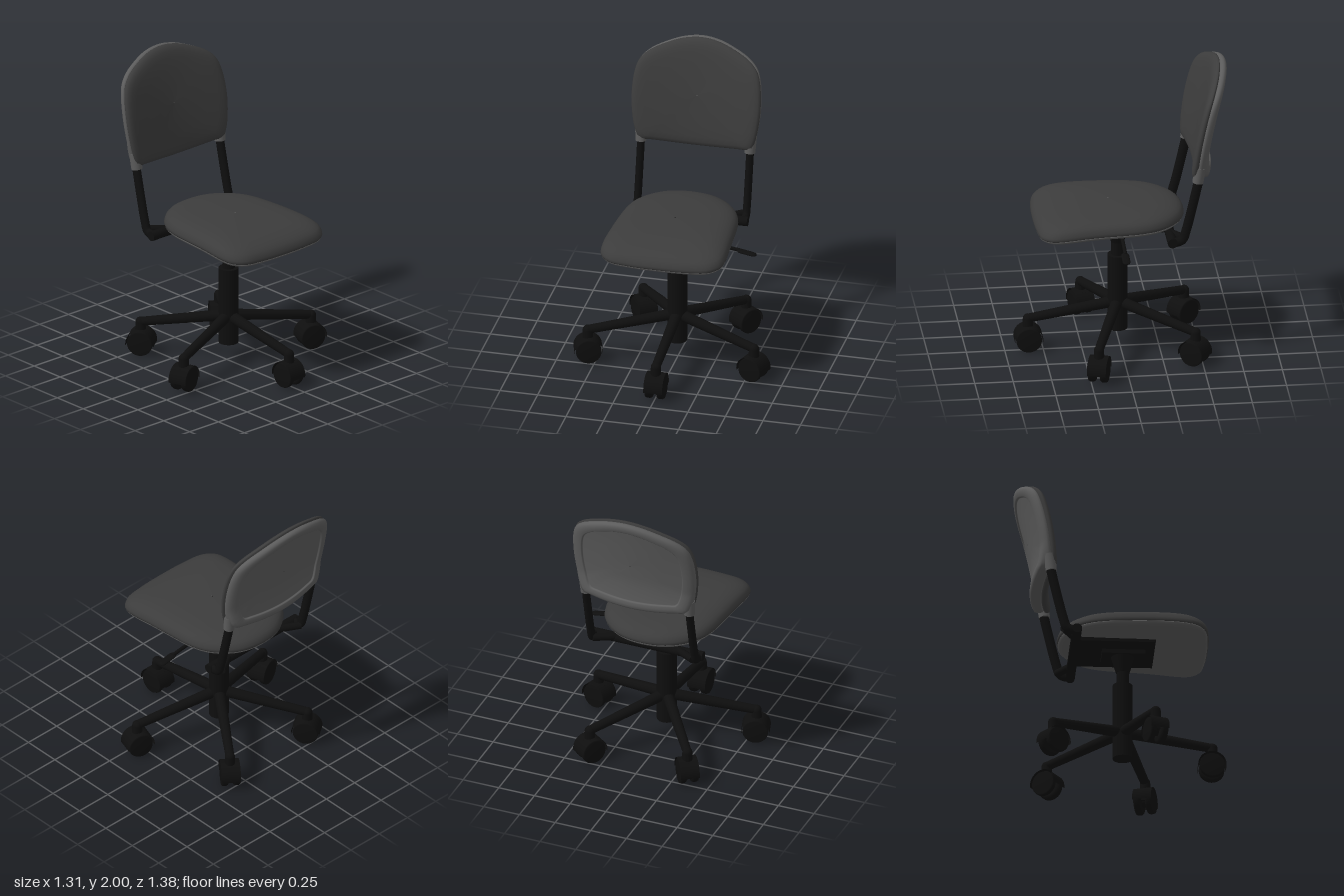
import * as THREE from 'three';

const mat = (color) => new THREE.MeshStandardMaterial({ color, side: THREE.DoubleSide });
const black = mat(0x0e0e0e), fabric = mat(0x3c3c3c), plastic = mat(0x5c5c5c);
const V = (x, y, z) => new THREE.Vector3(x, y, z);

function add(parent, name, geometry, material, x = 0, y = 0, z = 0) {
  const mesh = new THREE.Mesh(geometry, material);
  mesh.name = name;
  mesh.position.set(x, y, z);
  parent.add(mesh);
  return mesh;
}

// Straight round bar between two points, optionally tapered
function rod(parent, name, a, b, r0, r1 = r0, material = black) {
  const mesh = add(parent, name, new THREE.CylinderGeometry(r1, r0, a.distanceTo(b), 20), material);
  mesh.position.copy(a).add(b).multiplyScalar(0.5);
  mesh.quaternion.setFromUnitVectors(V(0, 1, 0), b.clone().sub(a).normalize());
  return mesh;
}

// Mirrors half an outline and samples it evenly
function outline(half) {
  const mirrored = half.slice(1, -1).reverse().map(([x, y]) => [-x, y]);
  const pts = [...half, ...mirrored].map(([x, y]) => V(x, y, 0));
  return new THREE.CatmullRomCurve3(pts, true).getSpacedPoints(96).slice(0, 96);
}

// Lofts scaled copies of an outline; rings are [scale, height]
function pad(points, centreV, rings, map) {
  const pos = [], index = [], n = points.length;
  rings.forEach(([s, h], k) => points.forEach((p, i) => {
    pos.push(...map(p.x * s, centreV + (p.y - centreV) * s, h));
    if (k === rings.length - 1) return;
    const a = k * n + i, d = k * n + (i + 1) % n;
    index.push(a, a + n, d + n, a, d + n, d);
  }));
  const g = new THREE.BufferGeometry();
  g.setAttribute('position', new THREE.Float32BufferAttribute(pos, 3));
  g.setIndex(index);
  g.computeVertexNormals();
  return g;
}

function makeSeat() {
  const g = new THREE.Group();
  g.name = 'seat';
  const shape = outline([[0, 0.57], [0.2, 0.563], [0.33, 0.54], [0.395, 0.48], [0.412, 0.4], [0.403, 0.2],
    [0.388, 0], [0.375, -0.1], [0.34, -0.21], [0.265, -0.31], [0.15, -0.385], [0, -0.41]]);
  // The rim dips toward the front edge
  const map = (x, z, h) => [x, 0.955 - 0.035 * Math.max(0, (z - 0.1) / 0.47) ** 2 + h, z];
  add(g, 'seatCushion', pad(shape, 0.08, [[0.01, 0.095], [0.25, 0.094], [0.5, 0.09], [0.7, 0.083], [0.82, 0.073],
    [0.9, 0.06], [0.95, 0.046], [0.98, 0.03], [0.995, 0.012], [1, 0], [0.99, -0.012], [0.96, -0.016]], map), fabric);
  add(g, 'seatShell', pad(shape, 0.08, [[0.94, -0.01], [0.98, -0.014], [0.985, -0.02], [0.96, -0.032], [0.9, -0.042],
    [0.7, -0.056], [0.4, -0.06], [0.01, -0.06]], map), plastic);
  return g;
}

function makeBackrest() {
  const g = new THREE.Group();
  g.name = 'backrest';
  const shape = outline([[0, 1.29], [0.15, 1.295], [0.3, 1.308], [0.37, 1.318], [0.397, 1.37], [0.42, 1.48], [0.43, 1.62],
    [0.417, 1.77], [0.39, 1.845], [0.33, 1.9], [0.23, 1.948], [0.12, 1.985], [0, 2]]);
  // Leans back, with the wings curving forward
  const map = (x, y, h) => {
    const t = y - 1.3;
    const lip = h < -0.08 ? 0.03 * Math.max(0, 1 - t / 0.17) : 0;
    return [x, y, -0.45 - 0.13 * t - 0.11 * t * t + 0.06 * (x / 0.43) ** 2 + h - lip];
  };
  add(g, 'backCushion', pad(shape, 1.64, [[0.01, 0], [0.3, 0], [0.6, -0.001], [0.8, -0.004], [0.9, -0.009], [0.96, -0.018],
    [0.99, -0.03], [1, -0.042], [0.99, -0.05], [0.95, -0.055]], map), fabric);
  // Shell with a raised border around a recessed panel
  add(g, 'backShell', pad(shape, 1.64, [[0.93, -0.052], [0.97, -0.056], [0.99, -0.064], [0.99, -0.078], [0.97, -0.092],
    [0.93, -0.101], [0.88, -0.104], [0.83, -0.103], [0.815, -0.1], [0.81, -0.092], [0.8, -0.09], [0.5, -0.092],
    [0.25, -0.093], [0.01, -0.093]], map), plastic);
  for (const s of [-1, 1])
    rod(g, 'armSocket', V(s * 0.362, 1.29, -0.466), V(s * 0.365, 1.4, -0.48), 0.036, 0.04, plastic);
  return g;
}

function makeBackFrame() {
  const g = new THREE.Group();
  g.name = 'backFrame';
  rod(g, 'crossBar', V(-0.39, 0.875, -0.3), V(0.39, 0.875, -0.3), 0.032);
  for (const s of [-1, 1]) {
    const path = new THREE.CatmullRomCurve3([V(0, 0.873, -0.29), V(0, 0.874, -0.33), V(0, 0.89, -0.366),
      V(0, 0.95, -0.388), V(0, 1.12, -0.43), V(0, 1.38, -0.488)]);
    const arm = add(g, 'backArm', new THREE.TubeGeometry(path, 40, 0.031, 16), black, s * 0.363);
    arm.scale.x = 0.8;
    rod(g, 'brace', V(s * 0.35, 0.89, -0.385), V(s * 0.2, 0.88, -0.29), 0.025);
  }
  return g;
}

function makeMechanism() {
  const g = new THREE.Group();
  g.name = 'mechanism';
  add(g, 'seatPlate', new THREE.BoxGeometry(0.4, 0.025, 0.54), black, 0, 0.888, -0.05);
  add(g, 'tiltHousing', new THREE.BoxGeometry(0.16, 0.04, 0.28), black, 0, 0.868, 0.02);
  add(g, 'gasLiftSocket', new THREE.CylinderGeometry(0.078, 0.043, 0.115, 32), black, 0, 0.797, 0.018);
  // Height lever with a flat paddle
  rod(g, 'leverRod', V(0.05, 0.875, 0.01), V(0.42, 0.825, 0.01), 0.012);
  const paddle = add(g, 'leverPaddle', new THREE.CapsuleGeometry(0.026, 0.08, 6, 16), black, 0.46, 0.815, 0.013);
  paddle.rotation.z = Math.PI / 2 - 0.17;
  paddle.scale.x = 0.4;
  return g;
}

function makeCaster() {
  const g = new THREE.Group();
  g.name = 'caster';
  const r = 0.083;
  const rim = [[0, -0.024], [0.06, -0.024], [0.077, -0.019], [r, -0.008], [r, 0.012], [0.078, 0.022], [0, 0.022]];
  const wheel = new THREE.LatheGeometry(rim.map(([x, y]) => new THREE.Vector2(x, y)), 32);
  for (const s of [-1, 1])
    add(g, 'wheel', wheel, black, s * 0.038).rotation.z = -s * Math.PI / 2;
  add(g, 'axleHub', new THREE.CylinderGeometry(0.035, 0.035, 0.06, 20), black).rotation.z = Math.PI / 2;
  add(g, 'web', new THREE.BoxGeometry(0.03, 0.085, 0.1), black, 0, 0.035, 0);
  // Half-round mudguard over both wheels
  const hood = new THREE.CylinderGeometry(0.092, 0.092, 0.125, 28, 1, true, -0.15, Math.PI + 0.3);
  hood.rotateZ(Math.PI / 2);
  add(g, 'hood', hood, black);
  return g;
}

function makeBase() {
  const g = new THREE.Group();
  g.name = 'base';
  g.position.z = 0.018;
  add(g, 'column', new THREE.CylinderGeometry(0.065, 0.065, 0.52, 32), black, 0, 0.39, 0);
  add(g, 'gasLift', new THREE.CylinderGeometry(0.04, 0.04, 0.16, 32), black, 0, 0.7, 0);
  for (let i = 0; i < 5; i++) {
    const leg = new THREE.Group();
    leg.name = 'leg';
    leg.rotation.y = i * Math.PI * 2 / 5;
    rod(leg, 'legBar', V(0, 0.315, 0.03), V(0, 0.222, 0.58), 0.037, 0.029);
    add(leg, 'legTip', new THREE.SphereGeometry(0.033, 20, 14), black, 0, 0.22, 0.582);
    rod(leg, 'casterStem', V(0, 0.15, 0.582), V(0, 0.22, 0.582), 0.035, 0.033);
    const caster = makeCaster();
    caster.position.set(0, 0.083, 0.578);
    leg.add(caster);
    g.add(leg);
  }
  return g;
}

export function createModel() {
  const chair = new THREE.Group();
  chair.name = 'officeChair';
  chair.add(makeSeat(), makeBackrest(), makeBackFrame(), makeMechanism(), makeBase());
  return chair;
}
